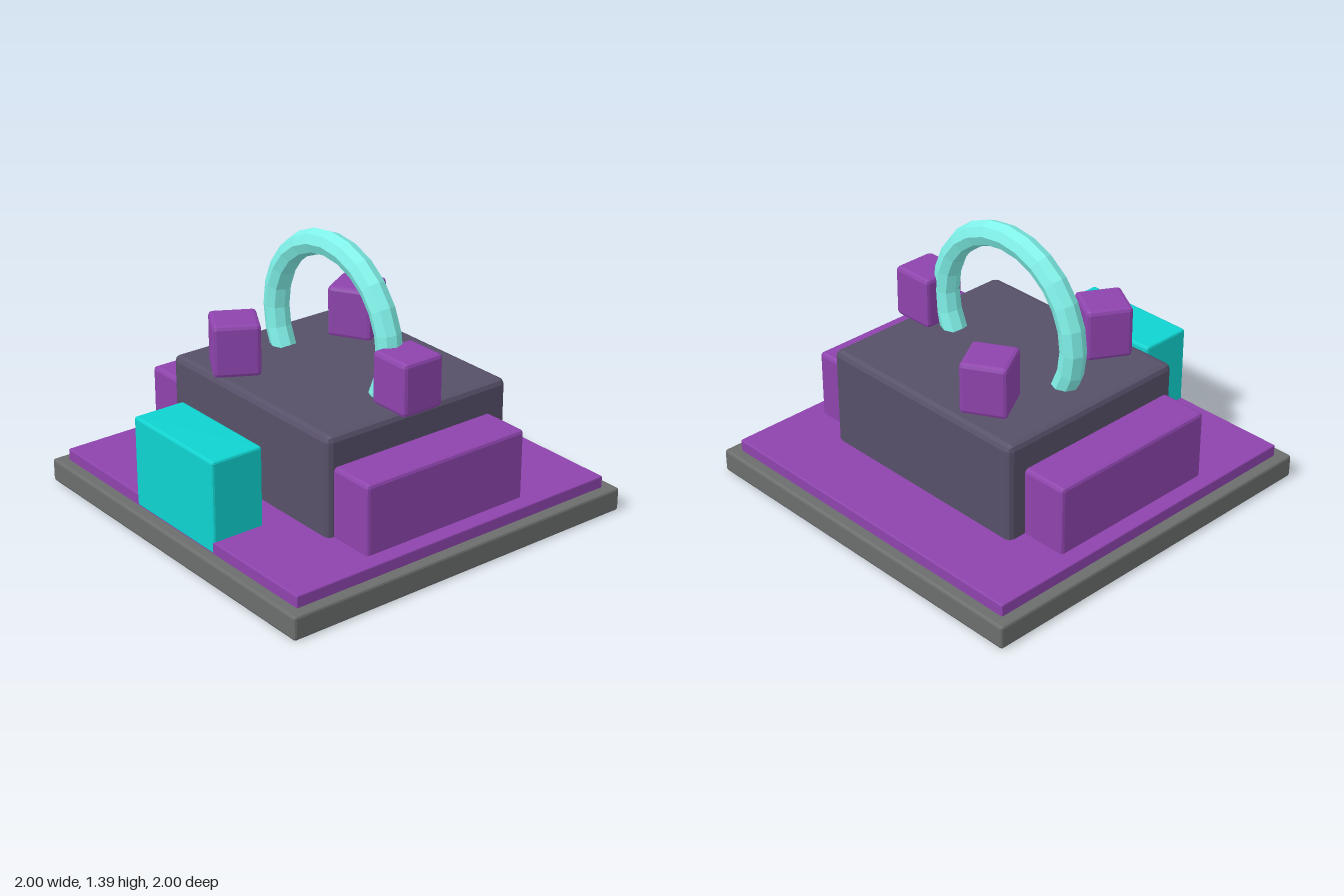
import * as THREE from 'three';
import { RoundedBoxGeometry } from 'three/addons/geometries/RoundedBoxGeometry.js';

const material = (color) => new THREE.MeshStandardMaterial({ color, flatShading: true });

export function createModel() {
  const model = new THREE.Group();
  const grey = material(0x6b6e6d);
  const purple = material(0x8e44ad);
  const slate = material(0x575069);
  const teal = material(0x0fd3d0);
  const aqua = material(0x7ff0e8);

  // Box with chamfered edges, placed by its x, y and z ranges
  function block(name, mat, [x0, x1], [y0, y1], [z0, z1], bevel) {
    const geometry = new RoundedBoxGeometry(x1 - x0, y1 - y0, z1 - z0, 1, bevel);
    const mesh = new THREE.Mesh(geometry, mat);
    mesh.name = name;
    mesh.position.set((x0 + x1) / 2, (y0 + y1) / 2, (z0 + z1) / 2);
    model.add(mesh);
    return mesh;
  }

  // Stepped ground plates
  block('base', grey, [-1, 1], [0, 0.12], [-1, 1], 0.012);
  block('floorPlate', purple, [-0.94, 0.94], [0.11, 0.18], [-0.94, 0.94], 0.006);

  // Main hall, side wings and front porch
  block('mainHall', slate, [-0.615, 0.615], [0.15, 0.69], [-0.58, 0.51], 0.03);
  block('leftWing', purple, [0.56, 0.855], [0.15, 0.535], [-0.48, 0.475], 0.018);
  block('rightWing', purple, [-0.855, -0.56], [0.15, 0.535], [-0.48, 0.475], 0.018);
  block('frontPorch', teal, [-0.318, 0.318], [0.115, 0.587], [0.66, 0.941], 0.012);

  // Faceted arch, its ends sunk into the hall roof
  const arc = THREE.MathUtils.degToRad(240);
  const arch = new THREE.Mesh(new THREE.TorusGeometry(0.438, 0.065, 8, 16, arc), aqua);
  arch.name = 'arch';
  arch.position.set(-0.005, 0.887, 0);
  arch.rotation.z = Math.PI / 2 - arc / 2;
  model.add(arch);

  // Three roof blocks around the arch
  const roofBlocks = [[0.557, -0.005, 0], [-0.28, -0.383, 30], [-0.28, 0.375, -30]];
  roofBlocks.forEach(([x, z, turn], i) => {
    const s = 0.117;
    const cube = block(`roofBlock${i + 1}`, purple, [x - s, x + s], [0.692, 0.96], [z - s, z + s], 0.02);
    cube.rotation.y = THREE.MathUtils.degToRad(turn);
  });

  return model;
}
